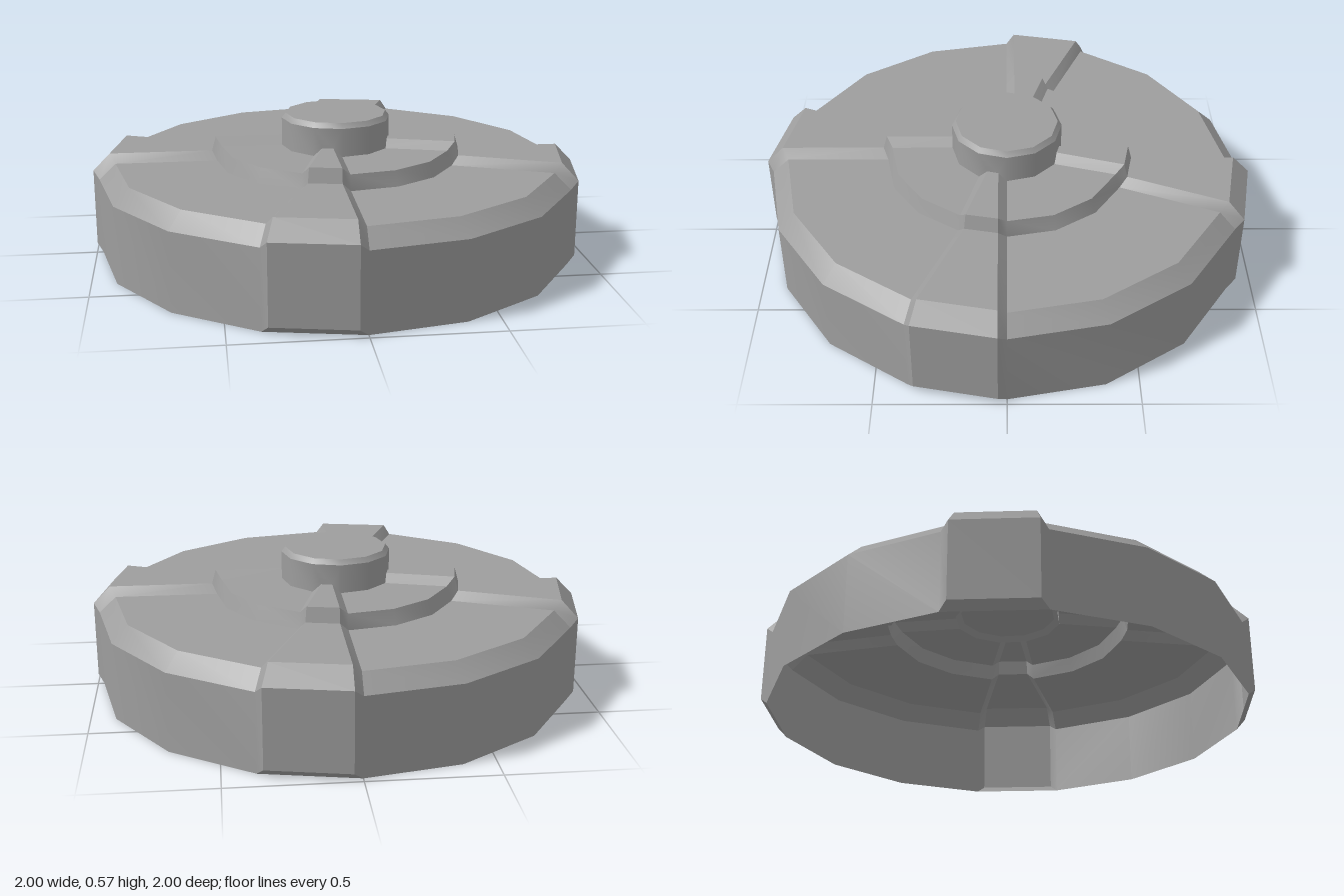
import * as THREE from 'three';
import { toCreasedNormals } from 'three/addons/utils/BufferGeometryUtils.js';

// Profiles as [radius, height], from the open bottom rim up to the hub centre
const BASE = [[0.975, 0], [0.975, 0.315], [0.907, 0.38], [0.492, 0.38], [0.471, 0.44],
  [0.223, 0.44], [0.223, 0.555], [0.207, 0.575], [0, 0.575]];
const RAISED = [[1.007, 0.03], [1.007, 0.345], [0.938, 0.415], [0.518, 0.415], [0.502, 0.473], [0.223, 0.473]];
const HUB = 5; // profile index where the twelve-sided hub begins
const CHAMFER = 0.035; // width of the sloping rib sides

const polar = ([r, y], deg) => {
  const a = THREE.MathUtils.degToRad(deg);
  return new THREE.Vector3(r * Math.cos(a), y, r * Math.sin(a));
};

// A column runs up the base profile; the hub uses its own angle
const baseColumn = (deg, hubDeg) => BASE.map((p, i) => polar(p, i < HUB ? deg : hubDeg));

// A raised column lies inside the rib sector, inset from one of its two edges
const raisedColumn = (fromEnd, baseEdge) => BASE.map((_, i) => {
  if (i > HUB) return baseEdge[i].clone();
  const a = polar(RAISED[i], 0);
  const b = polar(RAISED[i], i < HUB ? 22.5 : 30);
  const t = CHAMFER / a.distanceTo(b);
  return a.lerp(b, fromEnd ? 1 - t : t);
});

function addTriangle(out, a, b, c) {
  const area = b.clone().sub(a).cross(c.clone().sub(a)).length();
  if (area > 1e-7) for (const p of [a, b, c]) out.push(p.x, p.y, p.z);
}

function addQuad(out, a, b, c, d) {
  addTriangle(out, a, b, c);
  addTriangle(out, a, c, d);
}

// Skins neighbouring columns of points
function skin(out, columns) {
  for (let k = 0; k + 1 < columns.length; k++) {
    const [p, q] = [columns[k], columns[k + 1]];
    for (let i = 0; i + 1 < p.length; i++) addQuad(out, p[i], p[i + 1], q[i + 1], q[i]);
  }
}

// Repeats one quarter around the axis and makes a mesh with sharp bevel edges
function quarterMesh(name, positions, material) {
  const all = [];
  for (let k = 0; k < 4; k++) {
    for (let i = 0; i < positions.length; i += 3) {
      let [x, z] = [positions[i], positions[i + 2]];
      for (let n = 0; n < k; n++) [x, z] = [-z, x];
      all.push(x, positions[i + 1], z);
    }
  }
  const geometry = new THREE.BufferGeometry();
  geometry.setAttribute('position', new THREE.Float32BufferAttribute(all, 3));
  const mesh = new THREE.Mesh(toCreasedNormals(geometry, 0.6), material);
  mesh.name = name;
  return mesh;
}

export function createModel() {
  const group = new THREE.Group();
  group.name = 'ribbedLid';
  const material = new THREE.MeshStandardMaterial({ color: 0x9d9d9d, side: THREE.DoubleSide });

  // Raised rib with sloping sides, then a three-sided panel narrowing to two hub sides
  const panelColumns = [[22.5, 30], [45, 60], [67.5, 60], [90, 90]].map(([a, h]) => baseColumn(a, h));
  const start = baseColumn(0, 0);
  const end = panelColumns[0];
  const ribColumns = [start, raisedColumn(false, start), raisedColumn(true, end), end];
  const shell = [];
  skin(shell, ribColumns);
  skin(shell, panelColumns);
  // Bevel under the rib's outer face
  addQuad(shell, ...ribColumns.map((column) => column[0]));

  // Shallow recessed floor closing the hub from below
  const floor = [];
  const floorColumns = [90, 60, 30, 0].map((deg) => [[0.223, 0.44], [0.2, 0.46], [0, 0.46]].map((p) => polar(p, deg)));
  skin(floor, floorColumns);

  group.add(quarterMesh('lidShell', shell, material), quarterMesh('hubFloor', floor, material));
  return group;
}
